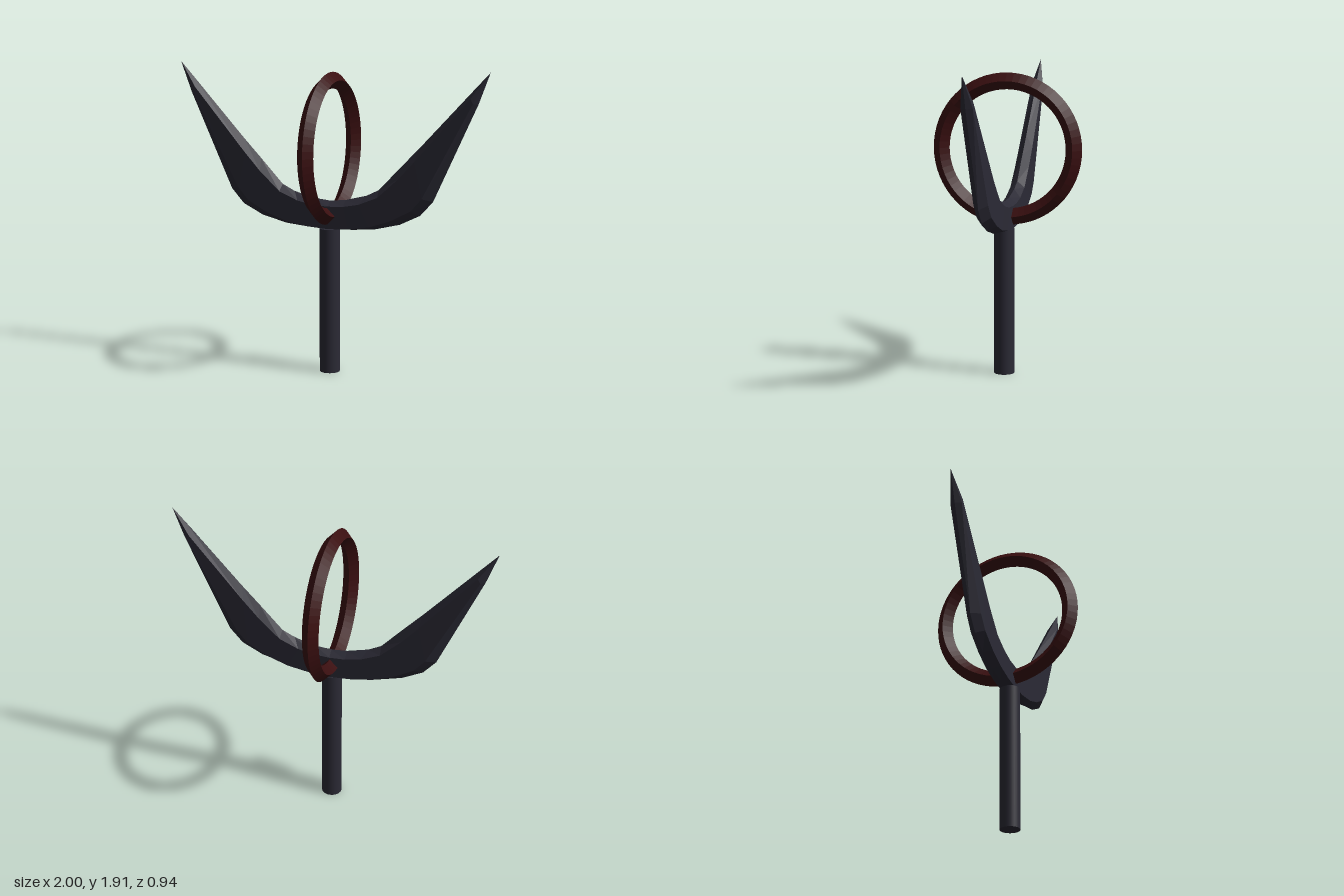
import * as THREE from 'three';

const steel = new THREE.MeshStandardMaterial({ color: 0x2b2a35 });
const steelFlat = new THREE.MeshStandardMaterial({ color: 0x2b2a35, flatShading: true });
const redMetal = new THREE.MeshStandardMaterial({ color: 0x3a0f10, flatShading: true });

// Cross-sections of one blade arm, centre to tip:
// outer edge, outer bevel, inner bevel, inner edge (x, y each), half thickness
const ARM = [
  [0, 0.91, 0, 0.915, 0, 1.055, 0, 1.085, 0.048],
  [0.15, 0.912, 0.13, 0.922, 0.1, 1.06, 0.1, 1.095, 0.047],
  [0.29, 0.925, 0.27, 0.945, 0.2, 1.08, 0.235, 1.13, 0.047],
  [0.45, 0.965, 0.4, 0.99, 0.32, 1.13, 0.315, 1.17, 0.046],
  [0.58, 1.03, 0.53, 1.06, 0.45, 1.25, 0.46, 1.325, 0.045],
  [0.66, 1.12, 0.6, 1.14, 0.55, 1.36, 0.57, 1.44, 0.044],
  [0.93, 1.72, 0.905, 1.725, 0.89, 1.755, 0.92, 1.823, 0.036],
  [1, 1.91, 1, 1.91, 1, 1.91, 1, 1.91, 0],
];

// Six-sided section: sharp outer and inner edges, flat front and back faces
function section([ox, oy, ax, ay, bx, by, ix, iy, t], side) {
  return [
    [ox, oy, 0], [ax, ay, t], [bx, by, t],
    [ix, iy, 0], [bx, by, -t], [ax, ay, -t],
  ].map(([x, y, z]) => [x * side, y, z]);
}

function bladeGeometry() {
  const rings = [
    ...ARM.slice(1).reverse().map((s) => section(s, -1)),
    ...ARM.map((s) => section(s, 1)),
  ];
  const positions = [];
  for (let i = 0; i < rings.length - 1; i++) {
    for (let k = 0; k < 6; k++) {
      const n = (k + 1) % 6;
      const a = rings[i][k], b = rings[i + 1][k];
      const c = rings[i + 1][n], d = rings[i][n];
      if (i > 0) positions.push(...a, ...b, ...d);
      if (i < rings.length - 2) positions.push(...b, ...c, ...d);
      if (i === 0) positions.push(...a, ...b, ...c);
      if (i === rings.length - 2) continue;
    }
  }
  const geometry = new THREE.BufferGeometry();
  geometry.setAttribute('position', new THREE.Float32BufferAttribute(positions, 3));
  geometry.computeVertexNormals();
  return geometry;
}

export function createModel() {
  const model = new THREE.Group();
  model.name = 'crescentBladeWithRing';

  function add(name, geometry, material, x, y, z) {
    const mesh = new THREE.Mesh(geometry, material);
    mesh.name = name;
    mesh.position.set(x, y, z);
    model.add(mesh);
    return mesh;
  }

  // Round shaft
  add('shaft', new THREE.CylinderGeometry(0.063, 0.063, 0.914, 32), steel, 0, 0.457, 0.018);

  // Bevelled crescent blade
  add('crescentBlade', bladeGeometry(), steelFlat, 0, 0, 0.01);

  // Diamond-section ring standing across the blade
  const ring = add('ring', new THREE.TorusGeometry(0.417, 0.051, 4, 64), redMetal, -0.003, 1.407, 0);
  ring.rotation.y = Math.PI / 2;

  return model;
}
